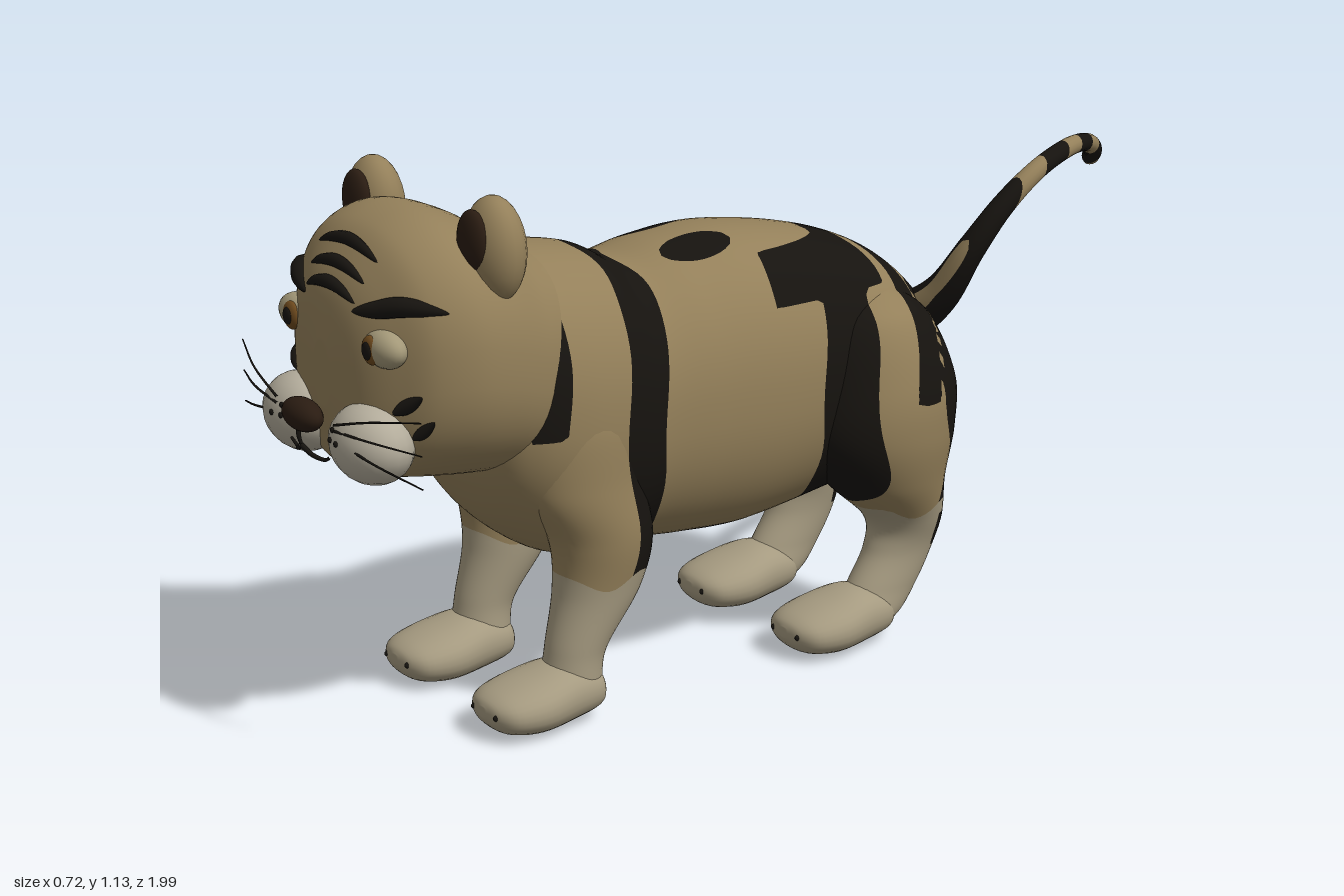
import * as THREE from 'three';

const FUR = 0x94805a, DARK = 0x16130f, PALE = 0xa59a80, MUZZLE = 0xb3ac9b, EYE = 0xa39878, BROWN = 0x2a1c12, AMBER = 0x6e4a1e;
const materials = {};
const mat = (color) => (materials[color] ??= new THREE.MeshStandardMaterial({ color, roughness: 0.9 }));
const V = (x, y, z) => new THREE.Vector3(x, y, z);

// Catmull-Rom blend of a table of cross-sections, u in 0..1
function blend(rows, u) {
  const f = u * (rows.length - 1), i = Math.min(Math.floor(f), rows.length - 2), t = f - i;
  const at = (k) => rows[Math.max(0, Math.min(rows.length - 1, k))];
  return rows[0].map((_, c) => {
    const [a, b, d, e] = [at(i - 1)[c], at(i)[c], at(i + 1)[c], at(i + 2)[c]];
    return b + 0.5 * t * (d - a + t * (2 * a - 5 * b + 4 * d - e + t * (3 * (b - d) + e - a)));
  });
}

// Skin over rings [cx, cy, cz, ra, rb]; upright rings run back to front, level ones top to bottom
function loft(rows, upright, power, n, m) {
  const pos = [], index = [];
  const bend = (v) => Math.sign(v) * Math.abs(v) ** power;
  for (let i = 0; i <= n; i++) {
    const [cx, cy, cz, ra, rb] = blend(rows, i / n);
    for (let j = 0; j < m; j++) {
      const a = (j / m) * Math.PI * 2;
      const p = Math.max(ra, 0.002) * bend(Math.cos(a)), q = Math.max(rb, 0.002) * bend(Math.sin(a));
      pos.push(cx + p, upright ? cy + q : cy, upright ? cz : cz + q);
      if (i === n) continue;
      const k = i * m + j, l = i * m + ((j + 1) % m);
      index.push(k, l, k + m, l, l + m, k + m);
    }
  }
  // end caps
  for (let j = 1; j < m - 1; j++) index.push(0, j + 1, j, n * m, n * m + j, n * m + j + 1);
  const g = new THREE.BufferGeometry();
  g.setAttribute('position', new THREE.Float32BufferAttribute(pos, 3));
  g.setIndex(index);
  g.computeVertexNormals();
  return g;
}

// Cut a triangle along field = 0 and add the pieces to the inside and outside lists
function cut(tri, field, inside, outside) {
  const f = tri.map((v) => field(v[0], v[1], v[2])), polys = [[], []];
  tri.forEach((v, i) => {
    const k = (i + 1) % 3, side = f[i] > 0 ? 0 : 1;
    polys[side].push(v);
    if ((f[k] > 0 ? 0 : 1) === side) return;
    const t = f[i] / (f[i] - f[k]), mid = v.map((a, c) => a + (tri[k][c] - a) * t);
    polys.forEach((p) => p.push(mid));
  });
  [inside, outside].forEach((list, s) => {
    for (let i = 2; i < polys[s].length; i++) list.push([polys[s][0], polys[s][i - 1], polys[s][i]]);
  });
}

// Skin split into one mesh per colour; layers are [part name, color, field], first one wins
function patterned(name, geometry, layers) {
  const group = new THREE.Group(), { position, normal } = geometry.attributes, idx = geometry.index.array;
  group.name = name;
  const vertex = (i) => [position, normal].flatMap((a) => [a.getX(i), a.getY(i), a.getZ(i)]);
  let rest = [];
  for (let i = 0; i < idx.length; i += 3) rest.push([vertex(idx[i]), vertex(idx[i + 1]), vertex(idx[i + 2])]);
  const add = (part, color, tris) => {
    const g = new THREE.BufferGeometry(), verts = tris.flat();
    g.setAttribute('position', new THREE.Float32BufferAttribute(verts.flatMap((v) => v.slice(0, 3)), 3));
    g.setAttribute('normal', new THREE.Float32BufferAttribute(verts.flatMap((v) => v.slice(3)), 3));
    const mesh = new THREE.Mesh(g, mat(color));
    mesh.name = name + part;
    group.add(mesh);
  };
  for (const [part, color, field] of layers) {
    const inside = [], outside = [];
    rest.forEach((tri) => cut(tri, field, inside, outside));
    add(part, color, inside);
    rest = outside;
  }
  add('Fur', FUR, rest);
  return group;
}

// Tube whose radius follows a rule along its length
function taperTube(points, radiusAt, n = 24, m = 10) {
  const curve = new THREE.CatmullRomCurve3(points);
  const g = new THREE.TubeGeometry(curve, n, 1, m), p = g.attributes.position, v = V(0, 0, 0);
  for (let i = 0; i < p.count; i++) {
    const t = Math.floor(i / (m + 1)) / n, c = curve.getPointAt(t);
    v.fromBufferAttribute(p, i).sub(c).multiplyScalar(radiusAt(t)).add(c);
    p.setXYZ(i, v.x, v.y, v.z);
  }
  return g;
}

function ball(name, color, center, radii) {
  const mesh = new THREE.Mesh(new THREE.SphereGeometry(1, 22, 14), mat(color));
  mesh.name = name;
  mesh.position.set(...center);
  mesh.scale.set(...radii);
  return mesh;
}

// Rings given as [z, top, bottom, half width]
const rings = (rows, x = 0, dz = 0) => rows.map(([z, t, b, w]) => [x, (t + b) / 2, z + dz, w, (t - b) / 2]);
const BODY = rings([[-0.53, 0.62, 0.52, 0.05], [-0.51, 0.7, 0.44, 0.13], [-0.46, 0.78, 0.38, 0.2], [-0.35, 0.86, 0.35, 0.25],
  [-0.2, 0.91, 0.32, 0.265], [0, 0.94, 0.29, 0.272], [0.15, 0.93, 0.295, 0.265], [0.27, 0.91, 0.305, 0.255], [0.35, 0.945, 0.295, 0.262],
  [0.47, 0.965, 0.32, 0.268], [0.58, 0.965, 0.4, 0.25], [0.65, 0.9, 0.5, 0.2], [0.69, 0.8, 0.6, 0.05]]);
const HEAD = rings([[0.45, 0.95, 0.54, 0.2], [0.55, 0.99, 0.52, 0.255], [0.65, 1.055, 0.53, 0.293], [0.74, 1.08, 0.54, 0.302],
  [0.82, 1.055, 0.55, 0.268], [0.87, 1.0, 0.565, 0.205], [0.905, 0.93, 0.6, 0.13], [0.922, 0.83, 0.7, 0.03]]);
const HEAD_POWER = 0.85;
const FRONT_LEG = [[0.16, 0.75, 0.45, 0.01, 0.01], [0.17, 0.66, 0.45, 0.09, 0.12], [0.178, 0.5, 0.44, 0.095, 0.13],
  [0.18, 0.38, 0.4, 0.094, 0.112], [0.175, 0.27, 0.408, 0.083, 0.094], [0.177, 0.15, 0.462, 0.064, 0.064],
  [0.175, 0.06, 0.475, 0.06, 0.06], [0.175, 0.03, 0.475, 0.01, 0.01]];
const HIND_LEG = [[0.16, 0.8, -0.3, 0.01, 0.01], [0.17, 0.74, -0.29, 0.11, 0.13], [0.19, 0.6, -0.3, 0.142, 0.185],
  [0.196, 0.48, -0.3, 0.14, 0.185], [0.19, 0.37, -0.33, 0.118, 0.14], [0.18, 0.27, -0.39, 0.083, 0.09],
  [0.175, 0.2, -0.385, 0.064, 0.084], [0.175, 0.12, -0.34, 0.06, 0.088], [0.175, 0.05, -0.29, 0.058, 0.078], [0.175, 0.03, -0.28, 0.01, 0.01]];
const PAW = [[0.41, 0.08, 0.04, 0.025], [0.43, 0.11, 0.018, 0.062], [0.5, 0.13, 0.005, 0.084], [0.58, 0.117, 0, 0.098],
  [0.645, 0.1, 0.01, 0.086], [0.675, 0.085, 0.03, 0.055], [0.685, 0.07, 0.048, 0.015]];

// Stripe bands as [z, half width, lowest y, highest y]
const BANDS = [[0.33, 0.048, 0.26, 1], [0.56, 0.04, 0.62, 0.86], [-0.17, 0.06, 0.33, 0.86], [-0.1, 0.11, 0.8, 0.9],
  [-0.25, 0.04, 0.8, 1], [-0.36, 0.035, 0.56, 0.95], [-0.45, 0.04, 0.28, 0.78], [0.1, 0.06, 0.25, 0.32]];
function stripes(x, y, z) {
  const w = z + 0.018 * Math.sin(15 * y + 9 * Math.abs(x)) + 0.012 * Math.sin(31 * x + 11 * y);
  const bands = BANDS.map(([c, h, lo, hi]) => Math.min(h - Math.abs(w - c), y - lo, hi - y));
  const backSpot = Math.min(y - 0.85, 0.05 * (1 - Math.hypot((Math.abs(x) - 0.09) / 0.045, (z - 0.1) / 0.085)));
  const rump = Math.min(-0.43 - z, 0.03 * (Math.sin(32 * y + 8 * Math.cos(9 * x)) - 0.1));
  return Math.max(...bands, backSpot, rump);
}
const COAT = ['Stripes', DARK, stripes];
const HOCK = ['HockPatch', DARK, (x, y, z) => Math.min(-0.43 - z, y - 0.2, 0.28 - y)];
const SOCK = ['Sock', PALE, (x, y, z) => 0.3 + 0.015 * Math.sin(40 * z) - y];
const CROWN = ['Spot', DARK, (x, y, z) => Math.min(y - 0.9, 0.05 * (1 - Math.abs(x) / 0.06 - Math.abs(z - 0.58) / 0.035))];
const TAIL_RINGS = ['Rings', DARK, (x, y, z) => Math.sin(46 * z + 12 * y + 9 * x) + 0.15];

// Frontmost z of the head at x, y
function faceZ(x, y) {
  for (let u = 1; u > 0; u -= 0.004) {
    const [, cy, z, rx, ry] = blend(HEAD, u), e = 2 / HEAD_POWER;
    if (Math.abs(x / rx) ** e + Math.abs((y - cy) / ry) ** e <= 1) return z;
  }
  return 0.7;
}

export function createModel() {
  const model = new THREE.Group(), head = new THREE.Group();
  model.name = 'tiger';
  head.name = 'head';
  model.add(patterned('body', loft(BODY, true, 0.9, 120, 80), [COAT]), head);
  head.add(patterned('skull', loft(HEAD, true, HEAD_POWER, 60, 64), [CROWN]));

  const dark = (name, geometry) => {
    const mesh = new THREE.Mesh(geometry, mat(DARK));
    mesh.name = name;
    head.add(mesh);
  };
  // tapered marking lying on the face
  const mark = (name, points, r) =>
    dark(name, taperTube(points.map(([x, y]) => V(x, y, faceZ(x, y))), (t) => r * Math.sin(Math.PI * t) ** 0.7 + 0.0005));
  const line = (name, points, r) => dark(name, taperTube(points, (t) => r * (1 - 0.5 * t), 16, 6));

  // forehead stripes, nose and mouth
  for (const [y, w] of [[1.008, 0.115], [0.968, 0.105], [0.93, 0.095]])
    mark('foreheadStripe', [[-w, y - 0.01], [-w / 2, y + 0.008], [0, y + 0.014], [w / 2, y + 0.008], [w, y - 0.01]], 0.013);
  head.add(ball('nose', BROWN, [0, 0.69, 0.968], [0.063, 0.033, 0.032]));
  line('mouthCentre', [V(0, 0.67, 0.975), V(0, 0.65, 0.978), V(0, 0.628, 0.972)], 0.006);

  for (const s of [1, -1]) {
    // ears
    head.add(ball('ear', FUR, [s * 0.228, 1.02, 0.666], [0.078, 0.105, 0.056]));
    head.add(ball('innerEar', BROWN, [s * 0.223, 1.04, 0.71], [0.048, 0.062, 0.022]));
    // eyes
    const ez = faceZ(s * 0.17, 0.845) - 0.01;
    head.add(ball('eye', EYE, [s * 0.17, 0.845, ez], [0.062, 0.038, 0.034]));
    head.add(ball('iris', AMBER, [s * 0.158, 0.843, ez + 0.024], [0.029, 0.029, 0.013]));
    head.add(ball('pupil', DARK, [s * 0.158, 0.843, ez + 0.033], [0.017, 0.018, 0.007]));
    // brows and cheek stripes
    mark('brow', [[s * 0.09, 0.905], [s * 0.15, 0.917], [s * 0.2, 0.928], [s * 0.268, 0.92]], 0.02);
    mark('cheekStripe', [[s * 0.19, 0.72], [s * 0.215, 0.737], [s * 0.245, 0.76]], 0.014);
    mark('cheekStripe', [[s * 0.215, 0.67], [s * 0.235, 0.688], [s * 0.255, 0.71]], 0.012);
    // muzzle with whiskers, spots and lip
    head.add(ball('muzzle', MUZZLE, [s * 0.135, 0.652, 0.893], [0.105, 0.08, 0.076]));
    const muzzleZ = (x, y) => 0.893 + 0.076 * Math.sqrt(1 - ((x - 0.135) / 0.105) ** 2 - ((y - 0.652) / 0.08) ** 2);
    for (const [x, y] of [[0.103, 0.682], [0.13, 0.662], [0.1, 0.662]])
      head.add(ball('whiskerSpot', DARK, [s * x, y, muzzleZ(x, y)], [0.006, 0.006, 0.004]));
    for (const [y0, y1] of [[0.695, 0.75], [0.683, 0.685], [0.668, 0.62]])
      line('whisker', [V(s * 0.115, y0, 0.962), V(s * 0.23, (y0 + y1) / 2 + 0.004, 0.95), V(s * 0.358, y1, 0.91)], 0.003);
    line('lip', [V(0, 0.628, 0.972), V(s * 0.03, 0.614, 0.965), V(s * 0.055, 0.608, 0.952), V(s * 0.078, 0.62, 0.953)], 0.006);

    // legs, paws and claws
    for (const [name, rows, dz, layers] of [['front', FRONT_LEG, 0, [SOCK, COAT]], ['hind', HIND_LEG, -0.755, [HOCK, SOCK, COAT]]]) {
      const side = rows.map(([x, ...rest]) => [s * x, ...rest]);
      model.add(patterned(name + 'Leg', loft(side, false, 1, 80, 44), layers));
      const paw = new THREE.Mesh(loft(rings(PAW, s * 0.175, dz), true, 0.92, 28, 28), mat(PALE));
      paw.name = name + 'Paw';
      model.add(paw);
      for (const d of [-0.042, 0.042])
        model.add(ball(name + 'Claw', DARK, [s * 0.175 + d, 0.058, 0.676 + dz], [0.005, 0.007, 0.009]));
    }
  }

  // tail
  const tailPath = [V(0.08, 0.66, -0.44), V(0.19, 0.75, -0.475), V(0.255, 0.86, -0.505), V(0.283, 0.95, -0.565),
    V(0.288, 1.015, -0.65), V(0.265, 1.048, -0.76), V(0.2, 1.035, -0.88), V(0.145, 1.0, -0.95), V(0.085, 0.96, -0.99)];
  const tail = taperTube(tailPath, (t) => (0.02 + 0.045 * (1 - t) ** 4) * Math.sqrt(Math.min(1, (1 - t) * 25 + 0.02)), 120, 16);
  model.add(patterned('tail', tail, [TAIL_RINGS]));
  return model;
}
